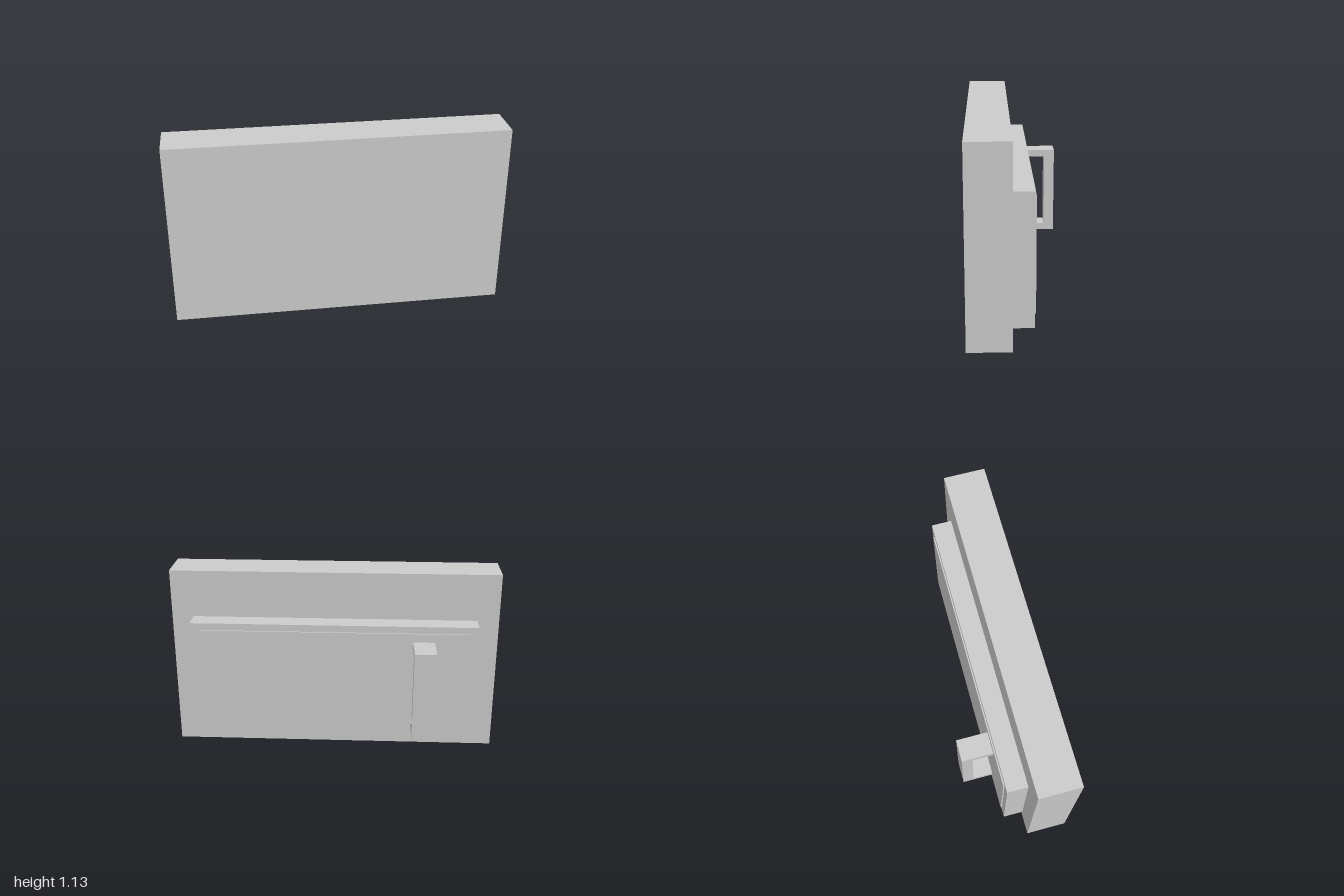
import * as THREE from 'three';

const material = new THREE.MeshStandardMaterial({ color: 0xcccccc, flatShading: true });

// Box given by its lower and upper limits on each axis
function block(name, [x0, x1], [y0, y1], [z0, z1]) {
  const mesh = new THREE.Mesh(new THREE.BoxGeometry(x1 - x0, y1 - y0, z1 - z0), material);
  mesh.position.set((x0 + x1) / 2, (y0 + y1) / 2, (z0 + z1) / 2);
  mesh.name = name;
  return mesh;
}

export function createModel() {
  const model = new THREE.Group();
  model.name = 'slabWithHandle';

  // Stepped slabs, from the large front plate to the thin rear panel
  model.add(
    block('frontSlab', [-1, 1], [0, 1.134], [0.035, 0.284]),
    block('rearBlock', [-0.87, 0.87], [0.077, 0.843], [-0.088, 0.035]),
    block('rearPanel', [-0.82, 0.81], [0.134, 0.8], [-0.096, -0.088]),
  );

  // C-shaped pull handle: profile in (depth behind the slab, height), extruded across x
  const profile = new THREE.Shape([
    [0.096, 0.19], [0.284, 0.19], [0.284, 0.747], [0.096, 0.747],
    [0.096, 0.704], [0.219, 0.704], [0.219, 0.232], [0.096, 0.232],
  ].map(([d, y]) => new THREE.Vector2(d, y)));
  const width = 0.13;
  const geometry = new THREE.ExtrudeGeometry(profile, { depth: width, bevelEnabled: false });
  geometry.rotateY(Math.PI / 2);
  const handle = new THREE.Mesh(geometry, material);
  handle.position.x = -0.61;
  handle.name = 'handle';
  model.add(handle);

  return model;
}
